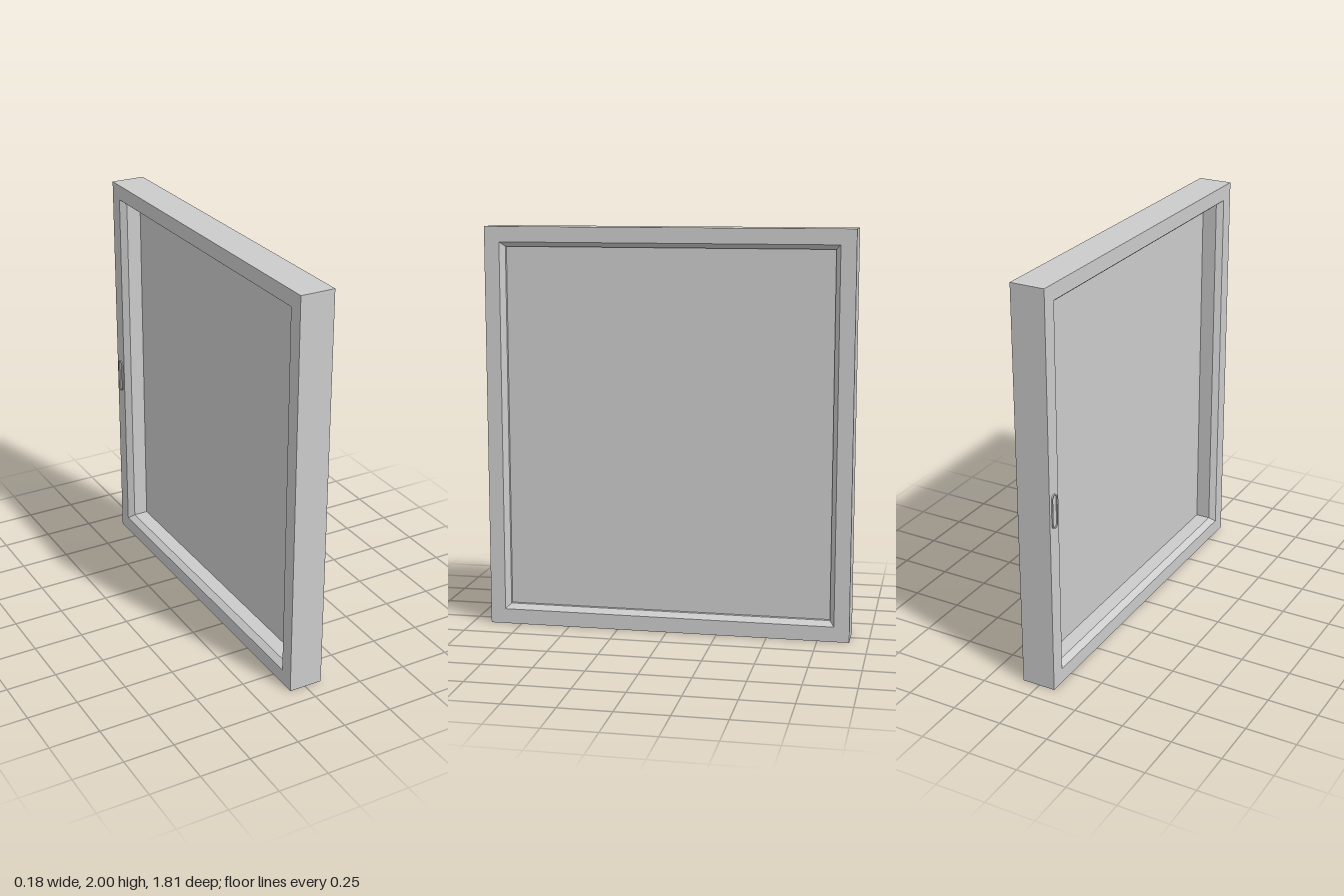
import * as THREE from 'three';

const material = new THREE.MeshStandardMaterial({ color: 0xcccccc });
const HALF_WIDTH = 0.907, HEIGHT = 2;
const X_BACK = -0.082, X_FRONT = 0.088;

// Corners of the frame rectangle, moved inwards by inset, at depth x
function ring([inset, x]) {
  const z = HALF_WIDTH - inset, top = HEIGHT - inset;
  return [[x, inset, z], [x, inset, -z], [x, top, -z], [x, top, z]];
}

// Sweeps a closed [inset, x] profile around the rectangle with mitred corners
function sweepFrame(profile) {
  const rings = profile.map(ring);
  const positions = [];
  rings.forEach((outer, j) => {
    const inner = rings[(j + 1) % rings.length];
    for (let k = 0; k < 4; k++) {
      const n = (k + 1) % 4;
      const [a, b, c, d] = [outer[k], outer[n], inner[n], inner[k]];
      positions.push(...a, ...b, ...c, ...a, ...c, ...d);
    }
  });
  const geometry = new THREE.BufferGeometry();
  geometry.setAttribute('position', new THREE.Float32BufferAttribute(positions, 3));
  geometry.computeVertexNormals();
  return geometry;
}

// Upright slot outline: straight sides and round ends
function slot(PathType, radius, height) {
  const h = height / 2 - radius;
  const path = new PathType();
  path.absarc(0, h, radius, 0, Math.PI, false);
  path.absarc(0, -h, radius, Math.PI, Math.PI * 2, false);
  path.closePath();
  return path;
}

export function createModel() {
  const model = new THREE.Group();
  const add = (name, geometry, parent = model) => {
    const mesh = new THREE.Mesh(geometry, material);
    mesh.name = name;
    parent.add(mesh);
    return mesh;
  };

  // Frame with a bevelled opening on both faces
  add('frame', sweepFrame([
    [0, X_FRONT], [0.075, X_FRONT], [0.098, X_FRONT - 0.03],
    [0.098, X_BACK + 0.03], [0.075, X_BACK], [0, X_BACK],
  ]));

  // Pane set nearer the +x face
  const pane = add('pane', new THREE.BoxGeometry(0.018, HEIGHT - 0.19, 2 * HALF_WIDTH - 0.19));
  pane.position.set(0.031, HEIGHT / 2, 0);

  // Flush pull: raised rim around a shallow dish
  const pull = new THREE.Group();
  pull.name = 'flushPull';
  const rim = slot(THREE.Shape, 0.022, 0.172);
  rim.holes.push(slot(THREE.Path, 0.016, 0.16));
  add('pullRim', new THREE.ExtrudeGeometry(rim, {
    depth: 0.006, bevelEnabled: false, curveSegments: 16,
  }), pull);
  add('pullDish', new THREE.ExtrudeGeometry(slot(THREE.Shape, 0.017, 0.162), {
    depth: 0.001, bevelEnabled: false, curveSegments: 16,
  }), pull);
  pull.rotation.y = -Math.PI / 2;
  pull.position.set(X_BACK, 0.935, -0.869);
  model.add(pull);

  return model;
}
